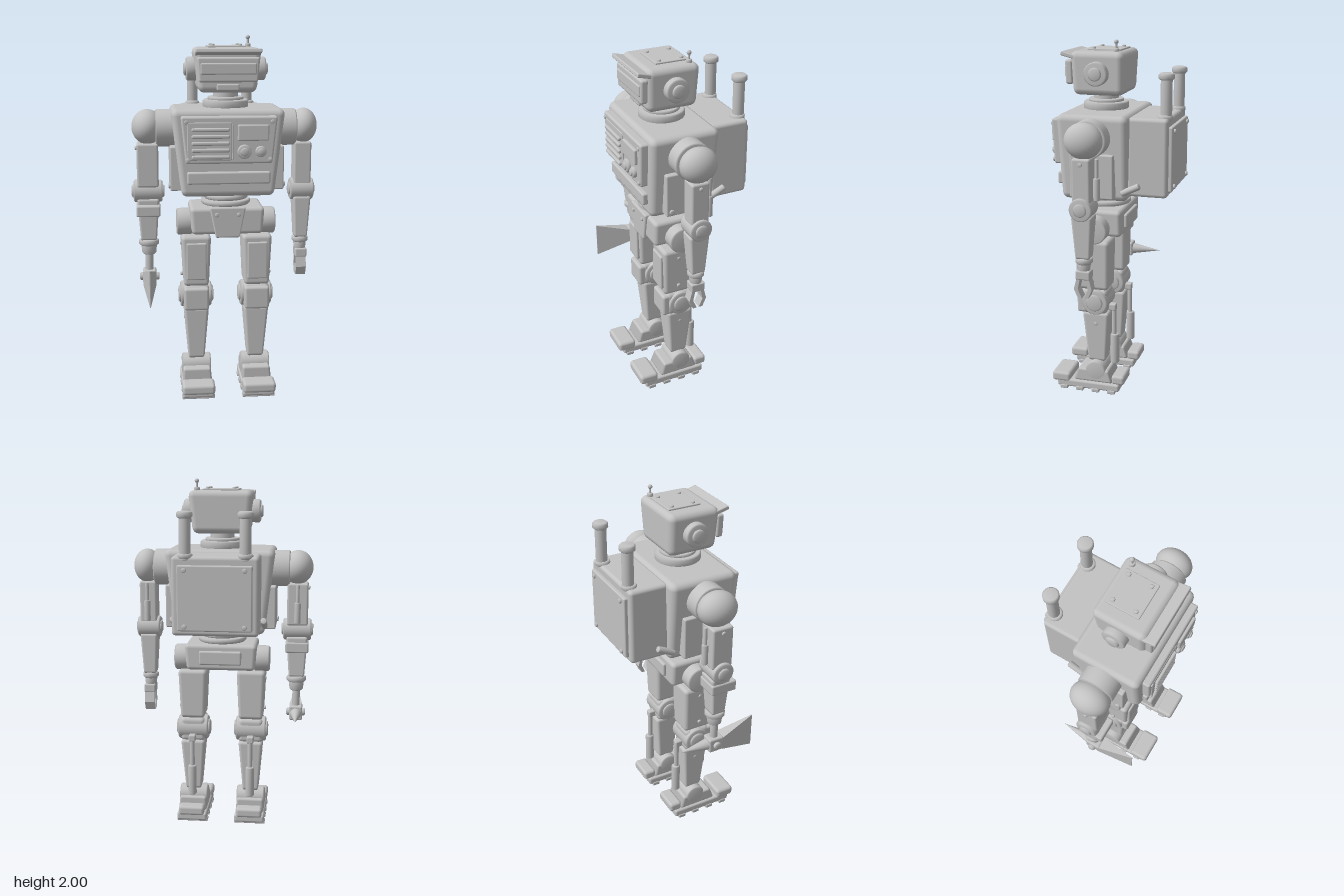
import * as THREE from 'three';
import { RoundedBoxGeometry } from 'three/addons/geometries/RoundedBoxGeometry.js';

const steel = new THREE.MeshStandardMaterial({ color: 0xc2c2c2 });
steel.name = 'steel';
const MID = 0.085; // depth of the body's centre line

export function createModel() {
  const model = new THREE.Group();
  model.name = 'robot';
  let target = model;

  function add(name, geometry, x = 0, y = 0, z = 0) {
    const mesh = new THREE.Mesh(geometry, steel);
    mesh.name = name;
    mesh.position.set(x, y, z);
    target.add(mesh);
    return mesh;
  }
  // Rounded box given by size and centre; bx and bz scale its bottom end
  function box(name, w, h, d, x, y, z, r = 0.01, bx = 1, bz = 1) {
    const g = new RoundedBoxGeometry(w, h, d, 2, Math.min(r, w / 2.1, h / 2.1, d / 2.1));
    const p = g.attributes.position;
    for (let i = 0; i < p.count; i++) {
      const t = 0.5 - p.getY(i) / h;
      p.setX(i, p.getX(i) * (1 + (bx - 1) * t));
      p.setZ(i, p.getZ(i) * (1 + (bz - 1) * t));
    }
    return add(name, g, x, y, z);
  }
  // Bevelled cylinder along an axis, top radius r, bottom radius rb
  function rod(name, r, len, x, y, z, axis = 'y', rb = r) {
    const b = Math.min(0.008, r / 4, len / 4), h = len / 2, V = (a, c) => new THREE.Vector2(a, c);
    const parts = [V(0, -h), V(rb - b, -h), V(rb, -h + b), V(r, h - b), V(r - b, h), V(0, h)];
    const g = new THREE.LatheGeometry(parts, 28);
    if (axis === 'x') g.rotateZ(-Math.PI / 2);
    if (axis === 'z') g.rotateX(Math.PI / 2);
    return add(name, g, x, y, z);
  }
  function rivet(x, y, z, axis = 'z', r = 0.011) {
    return rod('rivet', r, 0.014, x, y, z, axis);
  }
  function ball(name, rx, ry, rz, x, y, z) {
    return add(name, new THREE.SphereGeometry(1, 32, 20).scale(rx, ry, rz), x, y, z);
  }
  function begin(name) {
    target = new THREE.Group();
    target.name = name;
    model.add(target);
  }

  // Head
  begin('head');
  box('skull', 0.36, 0.235, 0.295, 0, 1.82, 0.09, 0.035, 0.86, 0.94);
  box('visorFrame', 0.33, 0.13, 0.04, 0, 1.825, 0.248, 0.012, 0.94);
  box('visor', 0.295, 0.06, 0.02, 0, 1.83, 0.265, 0.008);
  box('brow', 0.345, 0.022, 0.08, 0, 1.915, 0.25, 0.006).rotation.x = -0.25;
  box('mouth', 0.12, 0.036, 0.03, 0, 1.732, 0.225, 0.008);
  box('crownPlate', 0.2, 0.012, 0.185, 0, 1.94, 0.068, 0.004);
  for (const x of [-0.074, 0.074]) for (const z of [0.006, 0.13]) rivet(x, 1.948, z, 'y');
  for (const s of [-1, 1]) {
    rod('ear', 0.064, 0.06, s * 0.185, 1.823, MID, 'x');
    rod('earCap', 0.036, 0.05, s * 0.203, 1.823, MID, 'x');
  }
  rod('antennaBase', 0.016, 0.025, 0.132, 1.942, -0.01);
  rod('antenna', 0.006, 0.06, 0.132, 1.965, -0.01);
  ball('antennaTip', 0.012, 0.012, 0.012, 0.132, 1.988, -0.01);
  rod('neck', 0.068, 0.1, 0, 1.68, MID);
  rod('neckCollar', 0.125, 0.045, 0, 1.637, MID);
  rod('neckRing', 0.098, 0.02, 0, 1.665, MID);

  // Torso and chest panel
  begin('torso');
  box('chest', 0.61, 0.47, 0.39, 0, 1.385, 0.083, 0.035, 0.82, 0.94);
  box('chestPanel', 0.51, 0.25, 0.055, 0, 1.463, 0.288, 0.012, 0.9).rotation.x = 0.02;
  box('grilleFrame', 0.235, 0.2, 0.012, -0.105, 1.458, 0.315, 0.005);
  for (let i = 0; i < 5; i++) box('grilleSlat', 0.2, 0.02, 0.02, -0.1, 1.376 + i * 0.036, 0.327, 0.008);
  box('divider', 0.008, 0.19, 0.012, 0.018, 1.455, 0.316, 0.003);
  box('screen', 0.165, 0.085, 0.03, 0.125, 1.503, 0.318, 0.008);
  for (const [x, r] of [[0.078, 0.037], [0.165, 0.029]]) {
    rod('dial', r, 0.03, x, 1.403, 0.32, 'z');
    rod('dialKnob', r * 0.6, 0.03, x, 1.403, 0.328, 'z');
  }
  for (const s of [-1, 1]) {
    rivet(s * 0.227, 1.56, 0.318);
    rivet(s * 0.217, 1.36, 0.316);
    rod('shoulderSocket', 0.102, 0.14, s * 0.315, 1.505, 0.08, 'x');
    box('sidePanel', 0.06, 0.24, 0.24, s * 0.28, 1.295, 0.08, 0.008);
    rivet(s * 0.312, 1.2, 0.17, 'x', 0.015);
    rod('sidePipe', 0.018, 0.11, s * 0.25, 1.222, -0.12, 'z').rotation.x = 0.45;
  }
  box('lowerPanel', 0.445, 0.066, 0.035, 0, 1.258, 0.28, 0.01);

  // Backpack with twin stacks
  begin('backpack');
  box('pack', 0.466, 0.425, 0.22, 0, 1.393, -0.205, 0.02);
  box('packPlate', 0.4, 0.35, 0.03, 0, 1.385, -0.32, 0.008);
  for (const s of [-1, 1]) {
    rod('stack', 0.031, 0.24, s * 0.16, 1.7, -0.29);
    rod('stackCap', 0.042, 0.036, s * 0.16, 1.82, -0.29);
    rod('stackBase', 0.041, 0.03, s * 0.16, 1.605, -0.285);
    rivet(s * 0.16, 1.535, -0.339, 'z', 0.013);
    rivet(s * 0.16, 1.235, -0.339, 'z', 0.013);
  }

  // Waist and pelvis
  begin('pelvis');
  rod('waist', 0.1, 0.14, 0, 1.11, MID);
  rod('waistRing', 0.125, 0.026, 0, 1.128, MID);
  rod('waistRing', 0.138, 0.028, 0, 1.098, MID);
  box('hipBlock', 0.41, 0.15, 0.27, 0, 1.005, MID, 0.022, 0.95);
  box('frontPlate', 0.2, 0.17, 0.04, 0, 1.0, 0.215, 0.01, 0.65);
  box('rearPlate', 0.24, 0.08, 0.03, 0, 1.005, -0.052, 0.01);
  for (const s of [-1, 1]) {
    rivet(s * 0.06, 1.045, 0.237);
    rod('hipJoint', 0.075, 0.09, s * 0.23, 0.98, MID, 'x');
  }

  // Legs
  for (const s of [-1, 1]) {
    begin(s > 0 ? 'leftLeg' : 'rightLeg');
    const x = s * 0.17;
    box('thigh', 0.166, 0.29, 0.185, x, 0.77, 0.097, 0.022, 0.84, 0.92);
    box('thighPanel', 0.112, 0.21, 0.025, x, 0.772, 0.188, 0.008);
    for (const y of [0.86, 0.68]) rivet(x + s * 0.079, y, 0.1, 'x');
    box('kneeBlock', 0.145, 0.145, 0.15, x, 0.553, 0.095, 0.025);
    box('kneePad', 0.14, 0.13, 0.05, x, 0.55, 0.168, 0.015);
    rod('kneeDisc', 0.073, 0.175, x, 0.555, MID, 'x');
    rod('kneeCap', 0.048, 0.197, x, 0.555, MID, 'x');
    box('shin', 0.142, 0.31, 0.155, x, 0.335, 0.086, 0.018, 0.64, 0.65);
    rivet(x + s * 0.062, 0.42, MID, 'x');
    rod('pistonBarrel', 0.025, 0.18, x, 0.255, -0.01);
    rod('pistonRod', 0.014, 0.2, x, 0.42, -0.006);
    box('pistonMount', 0.04, 0.04, 0.05, x, 0.51, 0.005, 0.008);
    rod('ankle', 0.058, 0.165, x, 0.132, MID, 'x');
    box('instep', 0.155, 0.075, 0.18, x, 0.1, 0.1, 0.012, 1.08, 1.3);
    box('sole', 0.175, 0.046, 0.37, x, 0.037, 0.13, 0.012);
    box('toeCap', 0.183, 0.058, 0.11, x, 0.072, 0.292, 0.018);
    box('heel', 0.15, 0.055, 0.075, x, 0.082, -0.045, 0.016);
    for (let i = 0; i < 4; i++) box('tread', 0.183, 0.024, 0.045, x, 0.012, -0.01 + i * 0.095, 0.006);
  }

  // Arms: the right one is a little bulkier
  for (const s of [-1, 1]) {
    const right = s < 0, x = right ? -0.43 : 0.425, k = right ? 1.22 : 1;
    begin(right ? 'rightArm' : 'leftArm');
    ball('shoulder', right ? 0.086 : 0.075, 0.095, right ? 0.109 : 0.102, right ? -0.428 : 0.432, 1.512, 0.08);
    box('upperArm', 0.097 * k, 0.24, 0.1 * k, x, 1.305, MID, 0.012);
    rivet(x + s * 0.05 * k, 1.395, MID, 'x');
    rod('armPistonBarrel', 0.018, 0.12, x, 1.26, 0.012);
    rod('armPistonRod', 0.01, 0.13, x, 1.355, 0.012);
    rod('elbow', 0.062, 0.13 * k, x, 1.157, MID, 'x');
    rod('elbowCap', 0.036, 0.148 * k, x, 1.157, MID, 'x');
    box('forearm', 0.1 * k, 0.24, 0.115, x, 1.0, MID, 0.014, 0.72, 0.68);
    rod('wristBand', 0.046 * k, 0.034, x, 0.868, MID);
    rod('wrist', 0.036 * k, 0.06, x, 0.828, MID, 'y', 0.032 * k);
  }

  // Left claw: two bent fingers
  begin('leftClaw');
  box('palm', 0.066, 0.05, 0.08, 0.428, 0.79, MID, 0.008);
  const finger = new THREE.Shape([[0.012, 0.79], [0.03, 0.79], [0.05, 0.71], [0.028, 0.66], [0.006, 0.66],
    [0.028, 0.71]].map(([a, b]) => new THREE.Vector2(a, b)));
  for (const s of [-1, 1]) {
    const g = new THREE.ExtrudeGeometry(finger, { depth: 0.056, bevelEnabled: false });
    g.translate(0, 0, -0.028).rotateY(s * Math.PI / 2);
    add('finger', g, 0.428, 0, MID);
  }

  // Right arm's bracer, tool shaft, wedge blade and rear spike
  begin('rightTool');
  box('bracer', 0.132, 0.062, 0.15, -0.43, 1.057, 0.1, 0.01);
  rod('shaft', 0.022, 0.14, -0.43, 0.75, MID);
  box('toolHub', 0.075, 0.085, 0.09, -0.43, 0.665, MID, 0.01);
  rod('hubPin', 0.022, 0.11, -0.43, 0.665, MID, 'x');
  const blade = new THREE.BoxGeometry(1, 1, 1).toNonIndexed(), p = blade.attributes.position;
  for (let i = 0; i < p.count; i++) {
    const edge = p.getZ(i) > 0;
    p.setXYZ(i, p.getX(i) * (edge ? 0.004 : 0.075), p.getY(i) * (edge ? 0.205 : 0.075), edge ? 0.335 : 0.12);
  }
  blade.computeVertexNormals();
  add('blade', blade, -0.43, 0.663, 0);
  add('spike', new THREE.ConeGeometry(0.034, 0.18, 20).rotateX(-Math.PI / 2), -0.43, 0.663, -0.04);

  model.position.x = 0.004;
  return model;
}
